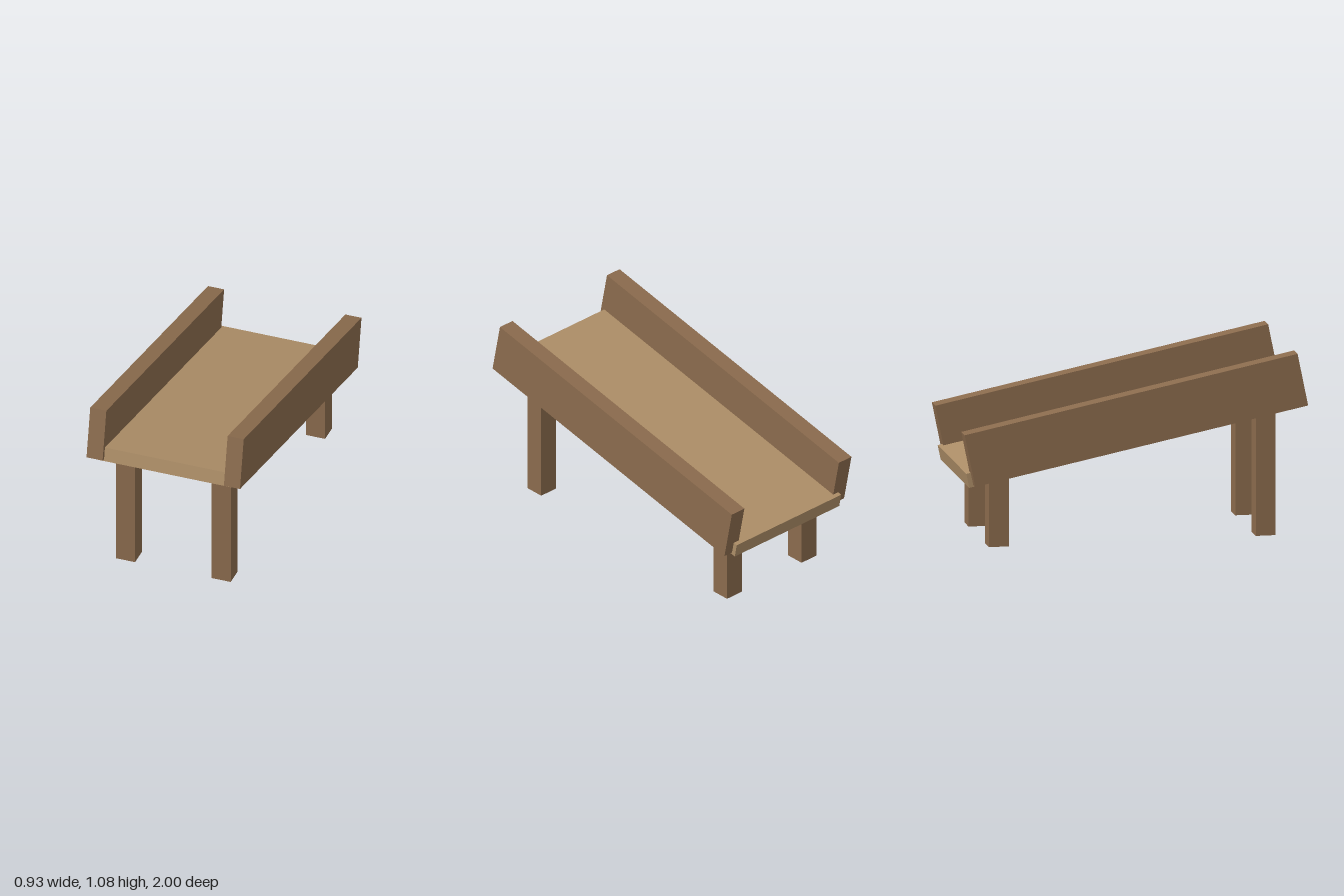
import * as THREE from 'three';

const TILT = -0.2; // front end raised
const darkWood = new THREE.MeshStandardMaterial({ color: 0x8b6b4d });
const lightWood = new THREE.MeshStandardMaterial({ color: 0xad8e67 });

function addBox(parent, name, size, position, material) {
  const mesh = new THREE.Mesh(new THREE.BoxGeometry(...size), material);
  mesh.name = name;
  mesh.position.set(...position);
  parent.add(mesh);
  return mesh;
}

export function createModel() {
  const model = new THREE.Group();
  model.name = 'ramp';

  // Sloping deck
  const deck = addBox(model, 'deck', [0.816, 0.084, 1.98], [0, 0.601, 0], lightWood);
  deck.rotation.x = TILT;

  for (const [side, s] of [['left', 1], ['right', -1]]) {
    // Tall side rail overlapping the deck edge
    const rail = addBox(model, side + 'Rail', [0.098, 0.31, 1.979], [s * 0.418, 0.7285, 0], darkWood);
    rail.rotation.x = TILT;

    // Upright legs, their tops sunk into the deck
    for (const [end, z, height] of [['Front', 0.777, 0.745], ['Back', -0.777, 0.43]]) {
      addBox(model, side + end + 'Leg', [0.117, height, 0.115], [s * 0.291, height / 2, z], darkWood);
    }
  }
  return model;
}
